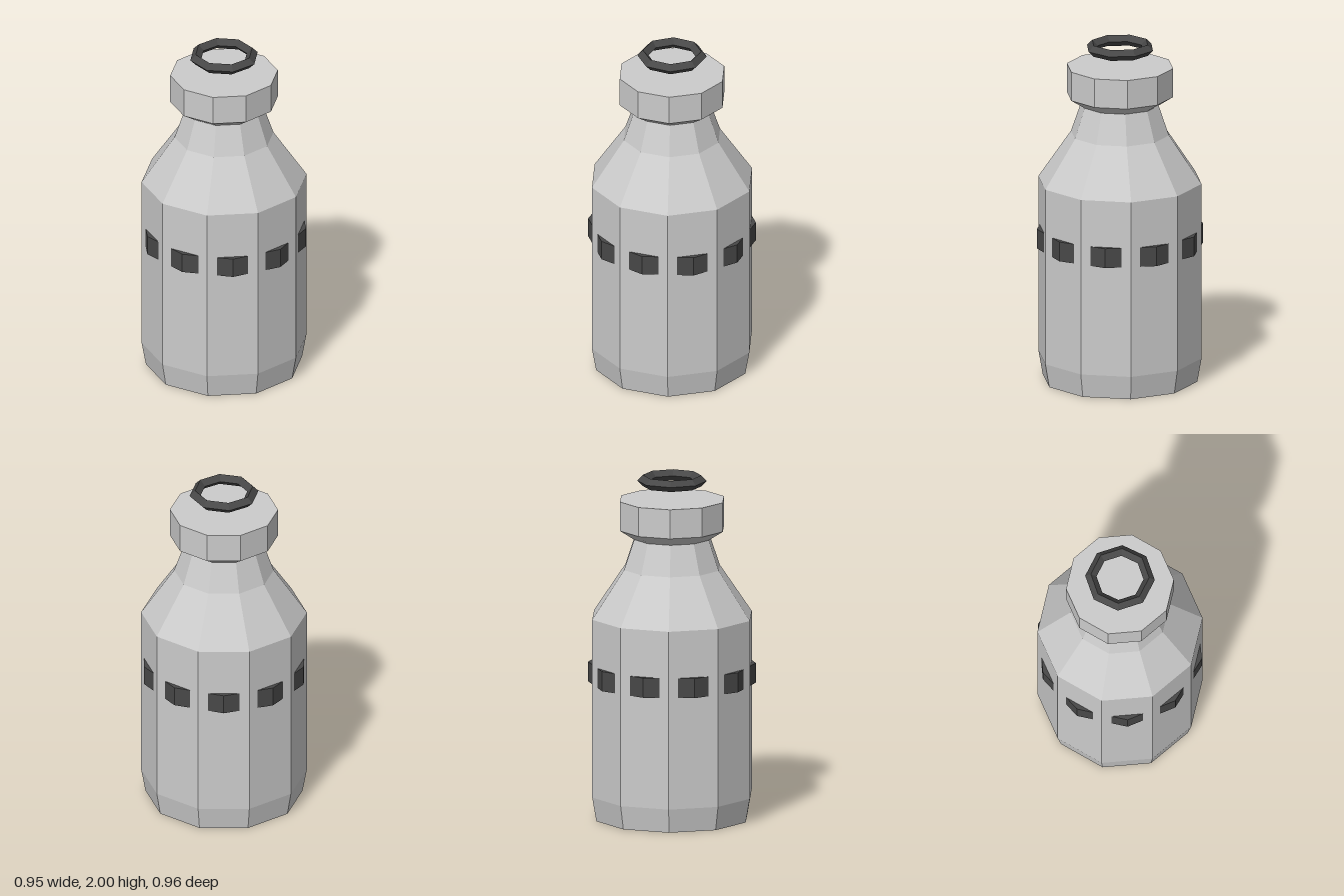
import * as THREE from 'three';

const SIDES = 10;

export function createModel() {
  const group = new THREE.Group();
  const grey = new THREE.MeshStandardMaterial({ color: 0xcccccc, flatShading: true });
  const dark = new THREE.MeshStandardMaterial({ color: 0x484848, flatShading: true });

  const add = (name, geometry, material, y = 0) => {
    const mesh = new THREE.Mesh(geometry, material);
    mesh.name = name;
    mesh.position.y = y;
    group.add(mesh);
    return mesh;
  };

  // Ten-sided bottle with chamfered base, shoulder, neck and thick lip; flat faces front and back
  const profile = [
    [0, 0], [0.45, 0], [0.475, 0.14], [0.475, 1.18], [0.285, 1.46],
    [0.225, 1.635], [0.31, 1.69], [0.31, 1.86], [0, 1.86],
  ].map(([r, y]) => new THREE.Vector2(r, y));
  add('bottle', new THREE.LatheGeometry(profile, SIDES, Math.PI / SIDES), grey);

  // Band turned half a side, so only its corners break through the bottle's faces
  add('band', new THREE.CylinderGeometry(0.481, 0.481, 0.115, SIDES), dark, 0.8475);

  // Octagonal ring with a diamond section, hovering above the lip
  const ring = new THREE.TorusGeometry(0.1675, 0.0325, 4, 8).rotateX(Math.PI / 2);
  add('topRing', ring, dark, 1.9675);

  return group;
}
